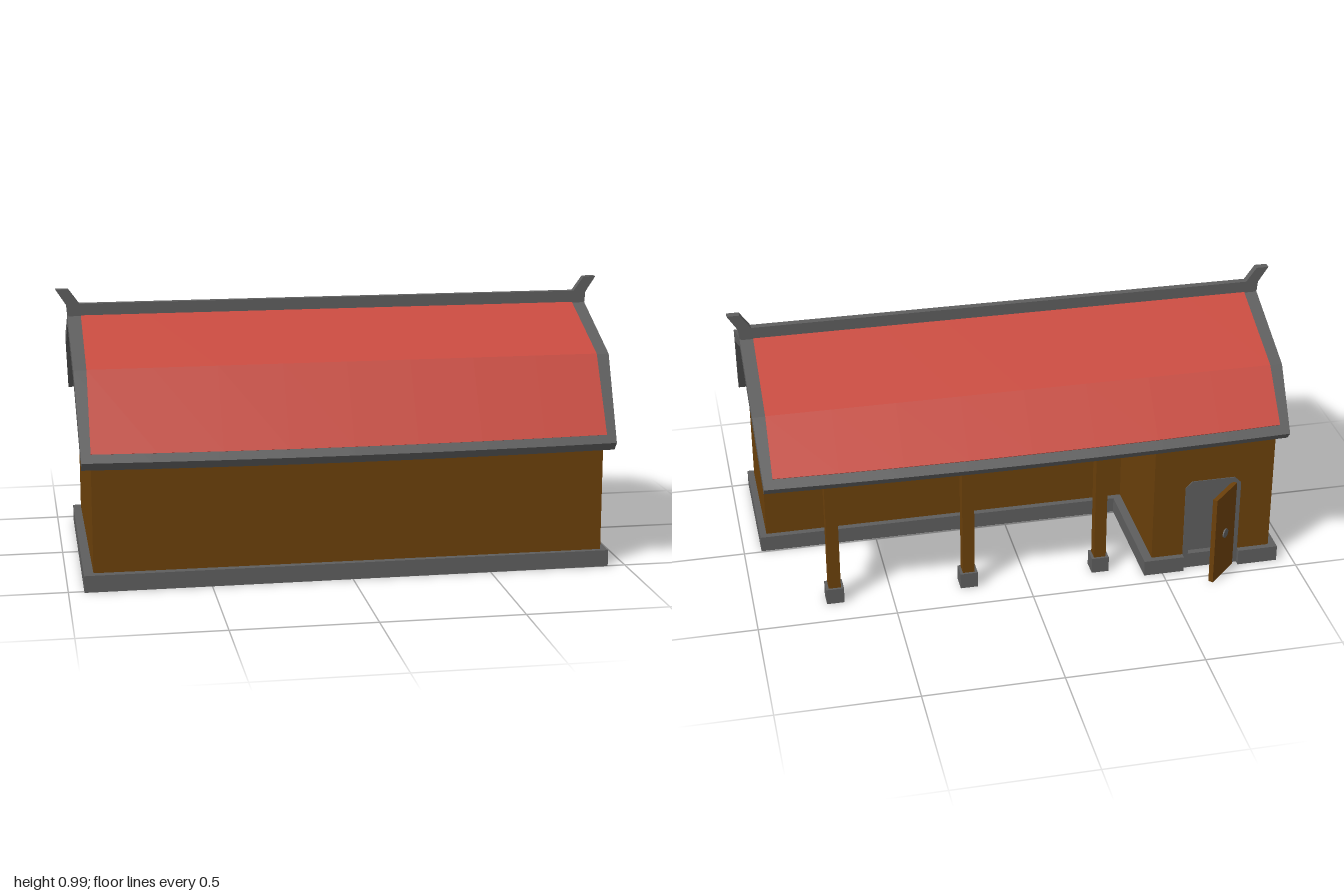
import * as THREE from 'three';

const material = (name, color) => {
  const m = new THREE.MeshStandardMaterial({ color });
  m.name = name;
  return m;
};

export function createModel() {
  const model = new THREE.Group();
  model.name = 'longhouse';
  const wood = material('brown wood', 0x6b400a);
  const stone = material('grey trim', 0x5e5e5e);
  const tile = material('red roof', 0xc84b40);

  const add = (name, geometry, mat, parent = model) => {
    const mesh = new THREE.Mesh(geometry, mat);
    mesh.name = name;
    parent.add(mesh);
    return mesh;
  };
  const box = (name, mat, x0, x1, y0, y1, z0, z1, parent) => {
    const g = new THREE.BoxGeometry(x1 - x0, y1 - y0, z1 - z0);
    g.translate((x0 + x1) / 2, (y0 + y1) / 2, (z0 + z1) / 2);
    return add(name, g, mat, parent);
  };
  const shapeOf = (pts) => new THREE.Shape(pts.map(([x, y]) => new THREE.Vector2(x, y)));
  const extrude = (pts, depth) => new THREE.ExtrudeGeometry(shapeOf(pts), { depth, bevelEnabled: false });

  // L-shaped plinth, slightly skewed at the front, with a gap at the doorway
  const plinth = extrude([
    [-0.945, 0.515], [0.935, 0.504], [0.935, 0.005], [-0.43, 0.005], [-0.43, -0.451],
    [-0.58, -0.451], [-0.58, -0.43], [-0.79, -0.43], [-0.79, -0.451], [-0.94, -0.451],
  ].map(([x, z]) => [x, -z]), 0.06);
  plinth.rotateX(-Math.PI / 2);
  add('plinth', plinth, stone);

  // Main body: full gable above, half depth below the porch ceiling
  const body = extrude([
    [0.484, 0.02], [0.484, 0.49], [0.337, 0.73], [0.028, 0.868], [-0.28, 0.73],
    [-0.429, 0.56], [-0.429, 0.552], [0.028, 0.552], [0.028, 0.02],
  ].map(([z, y]) => [-z, y]), 1.822);
  body.rotateY(Math.PI / 2).translate(-0.911, 0, 0);
  add('gableWalls', body, wood);

  // Enclosed room at one end of the porch, with a door opening
  box('roomWalls', wood, -0.911, -0.462, 0.02, 0.552, -0.4, 0.028);
  const opening = (l, r, top, c) => [[l, 0], [l, top - c], [l + c, top], [r - c, top], [r, top - c], [r, 0]];
  const doorWall = extrude([
    [-0.911, 0], ...opening(-0.77, -0.6, 0.35, 0.02), [-0.462, 0], [-0.462, 0.55], [-0.911, 0.55],
  ], 0.029);
  doorWall.translate(0, 0.002, -0.429);
  add('doorWall', doorWall, wood);
  box('doorwayPanel', stone, -0.775, -0.595, 0.002, 0.355, -0.407, -0.4);
  const frame = extrude([
    ...opening(-0.79, -0.58, 0.37, 0.025), ...opening(-0.77, -0.6, 0.35, 0.02).reverse(),
  ], 0.025);
  frame.translate(0, 0.001, -0.432);
  add('doorFrame', frame, stone);

  // Door leaf standing half open, knob on the outer face
  const door = new THREE.Group();
  door.name = 'door';
  door.position.set(-0.766, 0, -0.432);
  door.rotation.y = Math.PI / 4;
  model.add(door);
  box('doorLeaf', wood, 0, 0.153, 0, 0.35, -0.009, 0.009, door);
  const knob = new THREE.CylinderGeometry(0.018, 0.018, 0.01, 12);
  knob.rotateX(Math.PI / 2).translate(0.077, 0.175, -0.009);
  add('doorKnob', knob, stone, door);

  // Porch posts with stone feet and forked braces
  for (const x of [-0.277, 0.216, 0.708]) {
    const post = new THREE.Group();
    post.name = 'porchPost';
    post.position.set(x, 0, -0.362);
    model.add(post);
    box('postFoot', stone, -0.032, 0.032, 0, 0.06, -0.031, 0.031, post);
    box('postShaft', wood, -0.022, 0.022, 0.06, 0.555, -0.022, 0.022, post);
    for (const s of [-1, 1]) {
      const pts = [[0.02, 0.48], [0.1, 0.551], [0.093, 0.557], [0.06, 0.557], [0.02, 0.52]].map(([a, b]) => [a * s, b]);
      const brace = extrude(pts, 0.044);
      brace.translate(0, 0, -0.022);
      add('postBrace', brace, wood, post);
    }
  }

  // Lofts a closed [z, y, halfLength] section along x, with the eaves bowing out mid-length
  const loft = (section, steps = 8) => {
    const n = section.length;
    const pos = [];
    const idx = [];
    for (let i = 0; i <= steps; i++) {
      const u = (i / steps) * 2 - 1;
      const bow = 0.011 * (1 - u * u);
      for (const [z, y, half] of section) {
        const eave = y < 0.65 ? bow : 0;
        pos.push(u * half, y - eave * 0.5, z + Math.sign(z) * eave);
      }
    }
    for (let i = 0; i < steps; i++) {
      for (let j = 0; j < n; j++) {
        const a = i * n + j, b = i * n + ((j + 1) % n);
        idx.push(a, a + n, b, b, a + n, b + n);
      }
    }
    // End caps: quads between the outer points and their inner partners
    for (let j = 0; j < n / 2 - 1; j++) {
      const q = [j, j + 1, n - 2 - j, n - 1 - j];
      idx.push(q[0], q[1], q[2], q[0], q[2], q[3]);
      const e = q.map((k) => k + steps * n);
      idx.push(e[0], e[2], e[1], e[0], e[3], e[2]);
    }
    const g = new THREE.BufferGeometry();
    g.setAttribute('position', new THREE.Float32BufferAttribute(pos, 3));
    g.setIndex(idx);
    const flat = g.toNonIndexed();
    flat.computeVertexNormals();
    return flat;
  };

  // Grey roof shell, outer points front to back, then inner points back to front
  add('roofShell', loft([
    [0.536, 0.464, 0.945], [0.37, 0.755, 0.957], [0.028, 0.895, 0.96], [-0.315, 0.755, 0.957], [-0.482, 0.56, 0.945],
    [-0.457, 0.53, 0.945], [-0.277, 0.724, 0.957], [0.028, 0.858, 0.96], [0.335, 0.724, 0.957], [0.511, 0.434, 0.945],
  ]), stone);

  // Thin red covering laid inside the grey border
  add('roofCovering', loft([
    [0.5225, 0.492, 0.912], [0.3715, 0.757, 0.912], [0.028, 0.8975, 0.912], [-0.3165, 0.757, 0.912], [-0.4605, 0.589, 0.912],
    [-0.457, 0.584, 0.912], [-0.313, 0.752, 0.912], [0.028, 0.891, 0.912], [0.368, 0.752, 0.912], [0.517, 0.49, 0.912],
  ]), tile);

  // Ridge beam with upturned horns
  box('ridgeBeam', stone, -0.955, 0.955, 0.889, 0.934, 0.015, 0.041);
  for (const s of [-1, 1]) {
    const pts = [[0.917, 0.934], [0.925, 0.892], [0.96, 0.893], [0.963, 0.93], [1, 0.987], [0.955, 0.987]];
    const horn = extrude(pts.map(([x, y]) => [x * s, y]), 0.027);
    horn.translate(0, 0, 0.0145);
    add('ridgeHorn', horn, stone);
  }
  return model;
}
